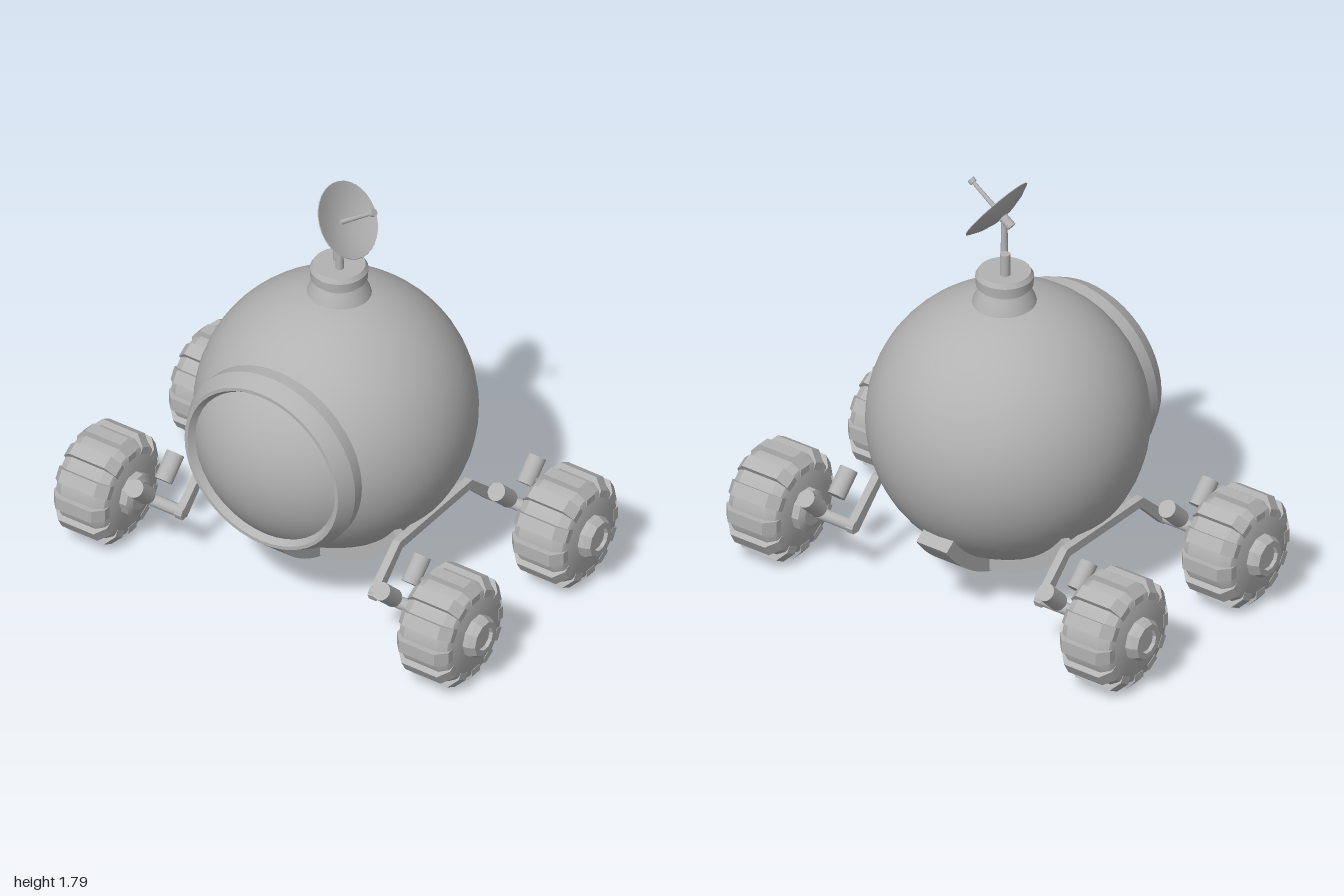
import * as THREE from 'three';
import { toCreasedNormals } from 'three/addons/utils/BufferGeometryUtils.js';

const CY = 0.72; // height of the cabin centre

export function createModel() {
  const model = new THREE.Group();
  model.name = 'sphericalRover';
  const grey = new THREE.MeshStandardMaterial({ color: 0xb2b2b2 });
  grey.name = 'light grey';

  const add = (parent, name, geo, x = 0, y = 0, z = 0) => {
    const mesh = new THREE.Mesh(geo, grey);
    mesh.name = name;
    mesh.position.set(x, y, z);
    parent.add(mesh);
    return mesh;
  };
  const group = (parent, name, x = 0, y = 0, z = 0) => {
    const g = new THREE.Group();
    g.name = name;
    g.position.set(x, y, z);
    parent.add(g);
    return g;
  };
  // Turned part from [radius, height] pairs, listed upwards along the outside
  const turned = (pts, sides = 32, crease = 0.5) =>
    toCreasedNormals(new THREE.LatheGeometry(pts.map(p => new THREE.Vector2(...p)), sides), crease);
  // Extrusion centred on its own thickness
  const slab = (shape, depth) => {
    const geo = new THREE.ExtrudeGeometry(shape, { depth, bevelEnabled: false, curveSegments: 28 });
    geo.translate(0, 0, -depth / 2);
    return toCreasedNormals(geo, 0.5);
  };
  const polygon = pts => new THREE.Shape(pts.map(p => new THREE.Vector2(...p)));
  // Curved strap hanging below the origin
  const strap = (inner, outer, half, depth) => {
    const s = new THREE.Shape();
    s.absarc(0, 0, outer, -Math.PI / 2 - half, -Math.PI / 2 + half, false);
    s.absarc(0, 0, inner, -Math.PI / 2 + half, -Math.PI / 2 - half, true);
    return slab(s, depth);
  };

  // Cabin with a round front window
  add(model, 'cabin', new THREE.SphereGeometry(0.567, 48, 32), 0, CY, 0);
  const frame = turned([[0.4, 0.36], [0.405, 0.45], [0.37, 0.52], [0.355, 0.52], [0.335, 0.49], [0.33, 0.4]], 48, 0.35);
  add(model, 'windowFrame', frame.rotateX(Math.PI / 2), 0, CY + 0.005, 0);
  const R = 0.51;
  const glass = new THREE.SphereGeometry(R, 40, 12, 0, Math.PI * 2, 0, Math.asin(0.345 / R));
  add(model, 'windowDome', glass.rotateX(Math.PI / 2), 0, CY + 0.005, 0.62 - R);

  // Belly keel and the two cross hoops
  add(model, 'keelStrap', strap(0.55, 0.62, 0.95, 0.15).rotateY(Math.PI / 2), 0, CY, 0);
  for (const z of [-0.2, 0.2]) add(model, 'crossHoop', strap(0.525, 0.58, 0.95, 0.04), 0, CY, z);

  // Wheel parts, lying along x with the outside towards +x
  const tyre = turned([[0, -0.122], [0.175, -0.122], [0.19, -0.115], [0.212, -0.08],
    [0.212, 0.08], [0.19, 0.115], [0.175, 0.122], [0, 0.122]], 36).rotateZ(-Math.PI / 2);
  const lug = slab(polygon([[-0.124, 0.16], [-0.124, 0.19], [-0.085, 0.234],
    [0.085, 0.234], [0.124, 0.19], [0.124, 0.16]]), 0.056);
  const hub = turned([[0, -0.168], [0.06, -0.168], [0.09, -0.155], [0.09, 0.145], [0.075, 0.172],
    [0.05, 0.172], [0.05, 0.155], [0, 0.155]], 10, 0.3).rotateZ(-Math.PI / 2);
  const axle = new THREE.CylinderGeometry(0.026, 0.026, 0.25, 16).rotateZ(Math.PI / 2);
  const damper = new THREE.CylinderGeometry(0.038, 0.038, 0.12, 20);

  // Side rail bending down to both axles
  const rail = slab(polygon([[-0.43, 0.24], [-0.25, 0.403], [0.25, 0.403], [0.43, 0.24],
    [0.42, 0.215], [0.385, 0.215], [0.235, 0.365], [-0.235, 0.365], [-0.385, 0.215], [-0.42, 0.215]]), 0.034)
    .rotateY(Math.PI / 2);

  for (const side of [1, -1]) {
    const gear = group(model, side > 0 ? 'leftRunningGear' : 'rightRunningGear');
    gear.rotation.y = side > 0 ? 0 : Math.PI;
    add(gear, 'sideRail', rail, 0.467, 0, 0);
    for (const z of [-0.4, 0.4]) {
      add(gear, 'axle', axle, 0.575, 0.24, z);
      for (const s of [-1, 1]) {
        add(gear, 'damper', damper, 0.595, 0.345, z + s * 0.1).rotation.x = s * Math.PI / 4;
      }
      const wheel = group(gear, 'wheel', 0.828, 0.235, z);
      add(wheel, 'tyre', tyre);
      add(wheel, 'hub', hub);
      for (let k = 0; k < 12; k++) add(wheel, 'treadLug', lug).rotation.x = k * Math.PI / 6;
    }
  }

  // Roof turret with two posts
  add(model, 'turret', turned([[0.135, 1.25], [0.125, 1.285], [0.1, 1.335], [0.1, 1.345], [0.115, 1.35],
    [0.117, 1.39], [0.105, 1.41], [0, 1.41]], 28, 0.4), 0, 0, -0.022);
  add(model, 'mast', new THREE.CylinderGeometry(0.012, 0.017, 0.23, 14), 0.018, 1.515, 0);
  add(model, 'shortPost', new THREE.CylinderGeometry(0.021, 0.021, 0.11, 16), -0.02, 1.45, -0.045);

  // Tilted dish with a feed rod, built along y
  const dish = group(model, 'dishAntenna', 0.055, 1.66, 0);
  dish.rotation.z = -Math.atan2(0.81, 0.59);
  add(dish, 'dish', turned([[0, -0.04], [0.06, -0.034], [0.115, -0.019], [0.16, 0.002],
    [0.158, 0.005], [0.114, -0.012], [0.06, -0.026], [0, -0.032]], 32, 0.7));
  add(dish, 'dishMount', new THREE.CylinderGeometry(0.02, 0.02, 0.06, 14), 0, -0.06, 0);
  add(dish, 'feedRod', new THREE.CylinderGeometry(0.008, 0.011, 0.18, 12), 0, 0.055, 0);
  add(dish, 'feedTip', new THREE.CylinderGeometry(0.016, 0.016, 0.018, 12), 0, 0.152, 0);

  return model;
}
